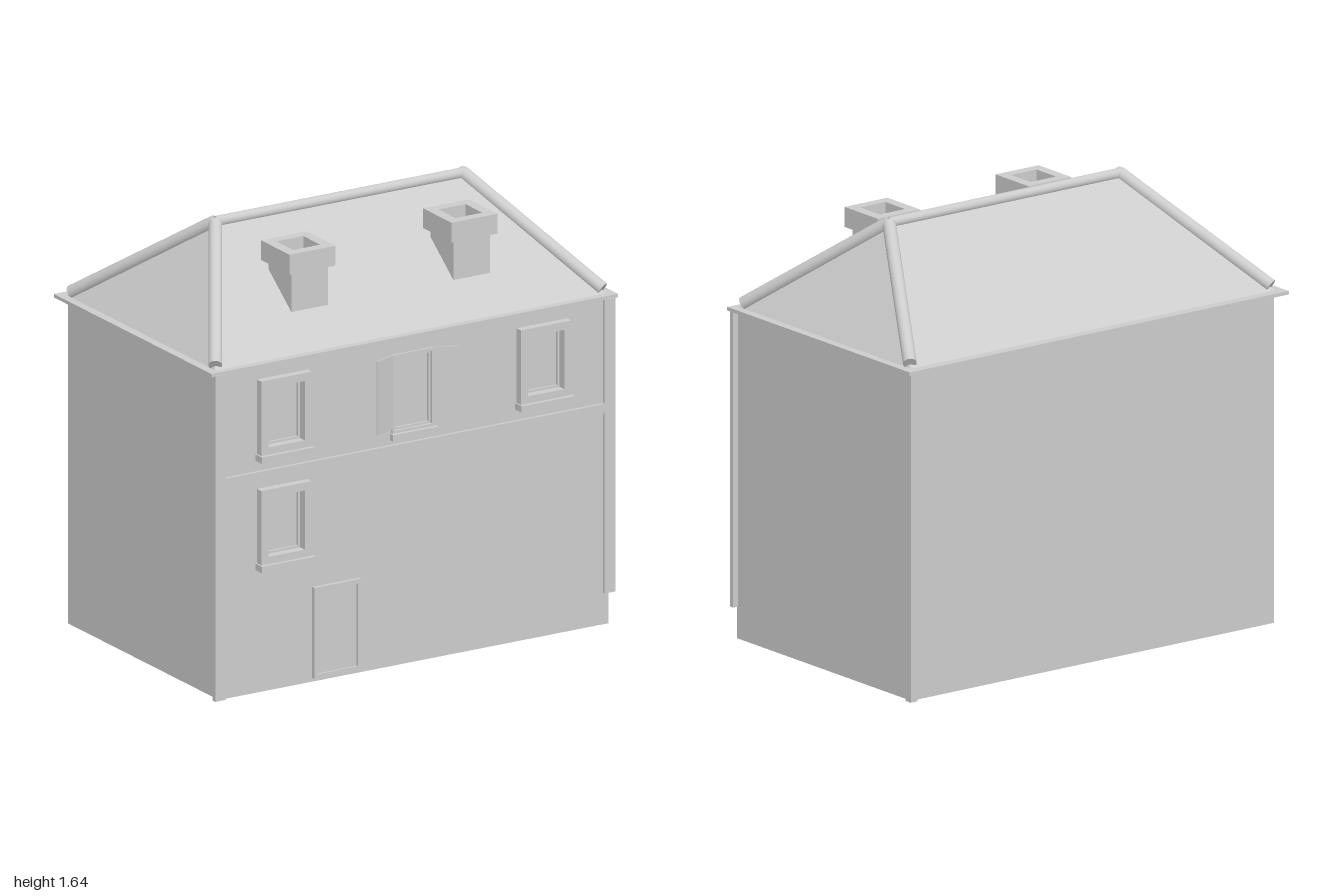
import * as THREE from 'three';

const mat = new THREE.MeshStandardMaterial({ color: 0xcccccc, side: THREE.DoubleSide, flatShading: true });
const smooth = new THREE.MeshStandardMaterial({ color: 0xcccccc });

const HALF = 0.825, FRONT = 0.528, BACK = -0.498, WALL_TOP = 1.235;

function add(parent, name, geometry, x = 0, y = 0, z = 0, material = mat) {
  const mesh = new THREE.Mesh(geometry, material);
  mesh.name = name;
  mesh.position.set(x, y, z);
  parent.add(mesh);
  return mesh;
}

const box = (w, h, d) => new THREE.BoxGeometry(w, h, d);

function rectPath(Type, x0, y0, x1, y1) {
  return new Type([[x0, y0], [x1, y0], [x1, y1], [x0, y1]].map(([x, y]) => new THREE.Vector2(x, y)));
}

// Rectangular frame in the XY plane, with border b, extruded along +z
function frame(w, h, b, depth) {
  const s = rectPath(THREE.Shape, -w / 2, -h / 2, w / 2, h / 2);
  s.holes.push(rectPath(THREE.Path, -w / 2 + b, -h / 2 + b, w / 2 - b, h / 2 - b));
  return new THREE.ExtrudeGeometry(s, { depth, bevelEnabled: false });
}

// Flat panel through three or four corners, counter-clockwise from outside
function panel(...pts) {
  const g = new THREE.BufferGeometry().setFromPoints(pts);
  g.setIndex(pts.length === 4 ? [0, 1, 2, 0, 2, 3] : [0, 1, 2]);
  const flat = g.toNonIndexed();
  flat.computeVertexNormals();
  return flat;
}

// Round roof tile run between two points
function roundBar(parent, name, a, b, r) {
  const dir = b.clone().sub(a);
  const mesh = add(parent, name, new THREE.CylinderGeometry(r, r, dir.length(), 16), 0, 0, 0, smooth);
  mesh.position.copy(a).add(b).multiplyScalar(0.5);
  mesh.quaternion.setFromUnitVectors(new THREE.Vector3(0, 1, 0), dir.normalize());
}

function addWindow(parent, x, y, w, h, border, proud) {
  const g = new THREE.Group();
  g.name = 'window';
  g.position.set(x, y, FRONT);
  add(g, 'windowFrame', frame(w, h, border, 0.025 + proud), 0, 0, -0.025);
  add(g, 'windowSash', frame(w - 2 * border, h - 2 * border, 0.008, 0.012), 0, 0, -0.015);
  add(g, 'windowPane', box(w - 2 * border, h - 2 * border, 0.006), 0, 0, -0.015);
  add(g, 'windowSill', box(w + 0.012, 0.025, 0.06 + proud), 0, -h / 2 - 0.01, proud / 2 - 0.015);
  parent.add(g);
  return g;
}

export function createModel() {
  const model = new THREE.Group();
  const house = new THREE.Group();
  house.name = 'house';
  house.rotation.y = -0.3676;
  model.add(house);
  const V = (x, y, z) => new THREE.Vector3(x, y, z);

  // Openings: centre x, centre y, width, height, border, projection
  const windows = [
    [-0.557, 1.045, 0.214, 0.285, 0.03, 0.03],
    [-0.557, 0.63, 0.214, 0.285, 0.03, 0.03],
    [0.543, 1.045, 0.214, 0.285, 0.03, 0.03],
    [-0.005, 1.03, 0.18, 0.3, 0.012, 0.008],
  ];

  // Walls, open underneath
  const front = rectPath(THREE.Shape, -HALF, 0, HALF, WALL_TOP);
  for (const [x, y, w, h] of windows) {
    const a = w / 2 - 0.006, b = h / 2 - 0.006;
    front.holes.push(rectPath(THREE.Path, x - a, y - b, x + a, y + b));
  }
  add(house, 'frontWall', new THREE.ShapeGeometry(front), 0, 0, FRONT);
  add(house, 'backWall', panel(V(HALF, 0, BACK), V(-HALF, 0, BACK), V(-HALF, WALL_TOP, BACK), V(HALF, WALL_TOP, BACK)));
  add(house, 'leftWall', panel(V(HALF, 0, FRONT), V(HALF, 0, BACK), V(HALF, WALL_TOP, BACK), V(HALF, WALL_TOP, FRONT)));
  add(house, 'rightWall', panel(V(-HALF, 0, BACK), V(-HALF, 0, FRONT), V(-HALF, WALL_TOP, FRONT), V(-HALF, WALL_TOP, BACK)));

  // Band between the storeys
  add(house, 'storeyBand', box(1.624, 0.035, 0.02), -0.005, 0.822, FRONT + 0.002);

  // Windows, the middle one with open shutters
  const made = windows.map((w) => addWindow(house, ...w));
  for (const s of [-1, 1]) {
    const hinge = new THREE.Group();
    hinge.name = 'shutter';
    hinge.position.set(s * 0.088, 0, 0.006);
    hinge.rotation.y = -s * 0.35;
    add(hinge, 'shutterLeaf', box(0.092, 0.28, 0.005), s * 0.046, 0.01, 0);
    made[3].add(hinge);
  }

  // Door
  add(house, 'doorFrame', frame(0.2, 0.345, 0.016, 0.03), -0.33, 0.187, FRONT - 0.015);
  add(house, 'doorLeaf', box(0.17, 0.315, 0.014), -0.33, 0.187, FRONT);

  // Downpipes: x, z, width, depth, bottom
  for (const [x, z, w, d, y0] of [
    [HALF, FRONT + 0.002, 0.045, 0.02, 0.12],
    [-HALF, FRONT + 0.002, 0.045, 0.02, 0],
    [HALF + 0.002, BACK - 0.004, 0.03, 0.03, 0],
  ]) add(house, 'downpipe', box(w, WALL_TOP - y0, d), x, (WALL_TOP + y0) / 2, z);

  // Eaves slab and hipped roof
  add(house, 'eaves', box(1.724, 0.013, 1.073), 0, 1.2385, 0);
  const ey = 1.244, ry = 1.618;
  const fl = V(0.83, ey, 0.51), fr = V(-0.83, ey, 0.51);
  const bl = V(0.83, ey, -0.5), br = V(-0.83, ey, -0.5);
  const rl = V(0.525, ry, 0.021), rr = V(-0.525, ry, 0.021);
  add(house, 'frontRoof', panel(fr, fl, rl, rr));
  add(house, 'backRoof', panel(bl, br, rr, rl));
  add(house, 'leftRoof', panel(fl, bl, rl));
  add(house, 'rightRoof', panel(br, fr, rr));
  roundBar(house, 'ridgeTiles', rr, rl, 0.02);
  for (const [corner, top] of [[fl, rl], [bl, rl], [fr, rr], [br, rr]]) {
    roundBar(house, 'hipTiles', corner.clone().lerp(top, 0.03).setY(1.26), top, 0.025);
  }

  // Chimneys: hollow shaft with a wider cap
  for (const x of [-0.34, 0.347]) {
    const chimney = new THREE.Group();
    chimney.name = 'chimney';
    chimney.position.set(x, 0, 0.289);
    const shaft = add(chimney, 'chimneyShaft', frame(0.155, 0.155, 0.02, 0.17), 0, 1.34, 0);
    const cap = add(chimney, 'chimneyCap', frame(0.195, 0.195, 0.04, 0.075), 0, 1.505, 0);
    shaft.rotation.x = cap.rotation.x = -Math.PI / 2;
    house.add(chimney);
  }
  return model;
}
